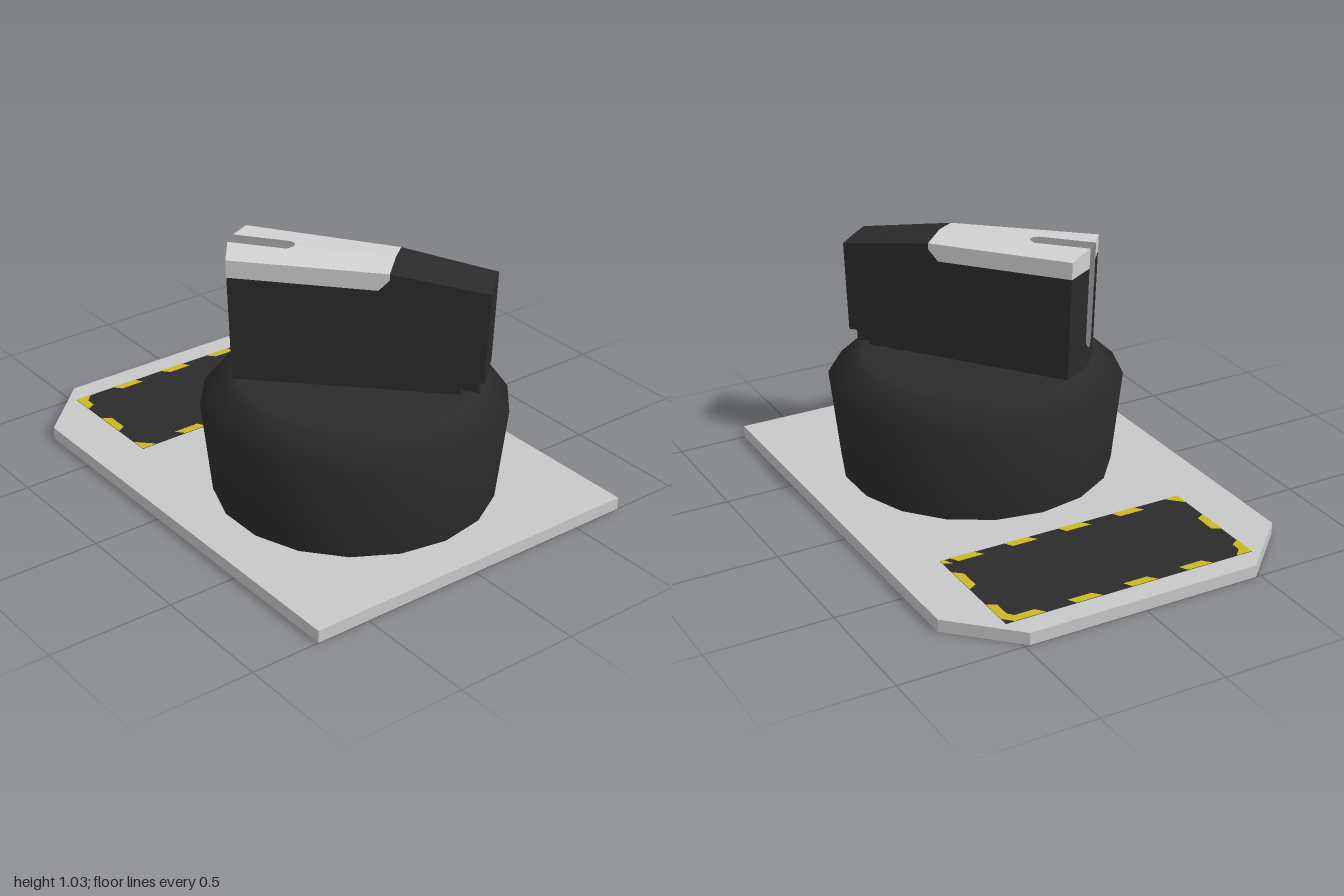
import * as THREE from 'three';

const paint = (name, color, double) => {
  const m = new THREE.MeshStandardMaterial({ color });
  m.name = name;
  if (double) m.side = THREE.DoubleSide;
  return m;
};

// flat-shaded geometry from four-cornered faces
function quads(list) {
  const pos = [];
  for (const [a, b, c, d] of list) pos.push(...a, ...b, ...c, ...a, ...c, ...d);
  const g = new THREE.BufferGeometry();
  g.setAttribute('position', new THREE.Float32BufferAttribute(pos, 3));
  g.computeVertexNormals();
  return g;
}

// horizontal sheet from [x, z] corners, with an optional hole
function sheet(points, y, hole) {
  const vec = (list) => list.map(([x, z]) => new THREE.Vector2(x, z));
  const s = new THREE.Shape(vec(points));
  if (hole) s.holes.push(new THREE.Path(vec(hole)));
  return new THREE.ShapeGeometry(s).rotateX(Math.PI / 2).translate(0, y, 0);
}

export function createModel() {
  const root = new THREE.Group();
  root.name = 'rotarySwitch';
  const plateGrey = paint('plate grey', 0xc8c8c8, true);
  const black = paint('black plastic', 0x2b2b2b);
  const labelBlack = paint('label black', 0x2b2b2b, true);
  const yellow = paint('hazard yellow', 0xc9b821, true);
  const silver = paint('silver', 0xd2d2d2);
  const grey = paint('pointer grey', 0x808080);
  const add = (parent, name, geo, mat) => {
    const m = new THREE.Mesh(geo, mat);
    m.name = name;
    parent.add(m);
    return m;
  };

  // base plate: an open-bottomed shell with the label set into its top
  const T = 0.05;
  const outline = [[-0.72, 1], [0.72, 1], [0.72, -0.765], [0.48, -1], [-0.48, -1], [-0.72, -0.765]];
  const label = [[-0.525, -0.405], [0.525, -0.405], [0.525, -0.908], [-0.525, -0.908]];
  add(root, 'plateTop', sheet(outline, T, label), plateGrey);
  add(root, 'plateRim', quads(outline.map(([x, z], i) => {
    const [x2, z2] = outline[(i + 1) % outline.length];
    return [[x, 0, z], [x2, 0, z2], [x2, T, z2], [x, T, z]];
  })), plateGrey);
  add(root, 'labelPanel', sheet(label, T), labelBlack);

  // hazard dashes around the label, seen from above and below
  const dashes = [
    [[-0.525, -0.908], [-0.455, -0.908], [-0.49, -0.872], [-0.49, -0.83], [-0.525, -0.81]],
    [[-0.525, -0.71], [-0.49, -0.69], [-0.49, -0.6], [-0.525, -0.58]],
    [[-0.525, -0.47], [-0.46, -0.405], [-0.525, -0.405]],
    [[0.39, -0.872], [0.36, -0.908], [0.49, -0.908], [0.525, -0.872], [0.525, -0.76], [0.49, -0.78], [0.49, -0.85], [0.47, -0.872]],
    [[0.49, -0.62], [0.525, -0.64], [0.525, -0.5], [0.49, -0.53]],
    [[0.49, -0.445], [0.525, -0.43], [0.525, -0.405], [0.51, -0.405]],
  ];
  for (const x of [-0.35, -0.11, 0.125, 0.355]) {
    if (x < 0.3) dashes.push([[x, -0.908], [x + 0.11, -0.908], [x + 0.13, -0.874], [x + 0.03, -0.874]]);
    dashes.push([[x, -0.44], [x + 0.11, -0.44], [x + 0.13, -0.405], [x + 0.03, -0.405]]);
  }
  for (const d of dashes)
    for (const y of [T + 0.002, T - 0.002]) add(root, 'hazardDash', sheet(d, y), yellow);

  // round knob and the turning handle share one axis
  const knob = new THREE.Group();
  knob.name = 'knob';
  knob.position.z = 0.284;
  root.add(knob);
  const profile = [[0.547, 0.046], [0.589, 0.425], [0.483, 0.525], [0.45, 0.526], [0, 0.526]];
  add(knob, 'knobBase', new THREE.LatheGeometry(profile.map(([r, y]) => new THREE.Vector2(r, y)), 18), black);

  const handle = new THREE.Group();
  handle.name = 'handle';
  handle.rotation.y = -0.86;
  knob.add(handle);

  // handle point, drawn in slightly towards the bottom
  const P = (u, z, y) => {
    const k = 1 - 0.07 * (1.015 - y);
    return [u * k, y, z * k];
  };
  // stations: distance along, half width, side top, ridge distance, ridge top, silver depth
  const st = [
    [-0.455, 0.16, 1.015, -0.485, 1.03, 0.07],
    [0.105, 0.1227, 1.001, 0.105, 1.016, 0.07],
    [0.146, 0.12, 1.0, 0.146, 1.015, 0.025],
    [0.43, 0.105, 0.958, 0.43, 0.962, 0],
    [0.517, 0.101, 0.945, 0.517, 0.947, 0],
  ];
  const bodyFaces = [], capFaces = [];

  // walls, running once round the plan
  const ring = [
    ...st.map(([u, w, y, , , b]) => [u, w, y, b]),
    [0.517, 0, 0.947, 0],
    ...st.slice().reverse().map(([u, w, y, , , b]) => [u, -w, y, b]),
    [-0.485, 0, 1.03, 0.085],
  ];
  ring.forEach((p, i) => {
    const q = ring[(i + 1) % ring.length];
    const low = p[0] >= 0.43 && q[0] >= 0.43 ? 0.58 : 0.52;
    const banded = p[0] < 0.15 && q[0] < 0.15;
    const at = (r, y) => P(r[0], r[1], y);
    const mid = (r) => r[2] - (banded ? r[3] : 0);
    bodyFaces.push([at(p, low), at(q, low), at(q, mid(q)), at(p, mid(p))]);
    if (banded) capFaces.push([at(p, mid(p)), at(q, mid(q)), at(q, q[2]), at(p, p[2])]);
  });

  // ridged top
  for (let i = 0; i < st.length - 1; i++) {
    const a = st[i], b = st[i + 1];
    const faces = i < 2 ? capFaces : bodyFaces;
    const ra = P(a[3], 0, a[4]), rb = P(b[3], 0, b[4]);
    faces.push([P(a[0], a[1], a[2]), P(b[0], b[1], b[2]), rb, ra]);
    faces.push([ra, rb, P(b[0], -b[1], b[2]), P(a[0], -a[1], a[2])]);
  }

  // undercut at the front of the handle
  const c = 0.105, d = 0.101;
  bodyFaces.push([P(0.43, -c, 0.58), P(0.517, -d, 0.58), P(0.517, d, 0.58), P(0.43, c, 0.58)]);
  bodyFaces.push([P(0.43, c, 0.52), P(0.43, -c, 0.52), P(0.43, -c, 0.58), P(0.43, c, 0.58)]);
  add(handle, 'handleBody', quads(bodyFaces), black);
  add(handle, 'silverCap', quads(capFaces), silver);
  add(handle, 'handleNeck', new THREE.BoxGeometry(0.1, 0.07, 0.14), black).position.set(0.43, 0.55, 0);

  // pointer stripe, over the top and down the back end: along, height, half width, bend
  const rows = [
    [-0.232, 1.028, 0.012, 0], [-0.255, 1.028, 0.034, 0], [-0.49, 1.034, 0.034, 1],
    [-0.49, 0.64, 0.034, 1], [-0.49, 0.61, 0.012, 1],
  ];
  const S = ([u, y, w, bend], s) => P(u + bend * 0.19 * w * Math.abs(s), s * w, y - 0.1 * w * Math.abs(s));
  const stripe = [];
  for (let i = 0; i < rows.length - 1; i++)
    for (const s of [0, 1])
      stripe.push([S(rows[i + 1], s), S(rows[i], s), S(rows[i], s - 1), S(rows[i + 1], s - 1)]);
  add(handle, 'pointerStripe', quads(stripe), grey);

  return root;
}
